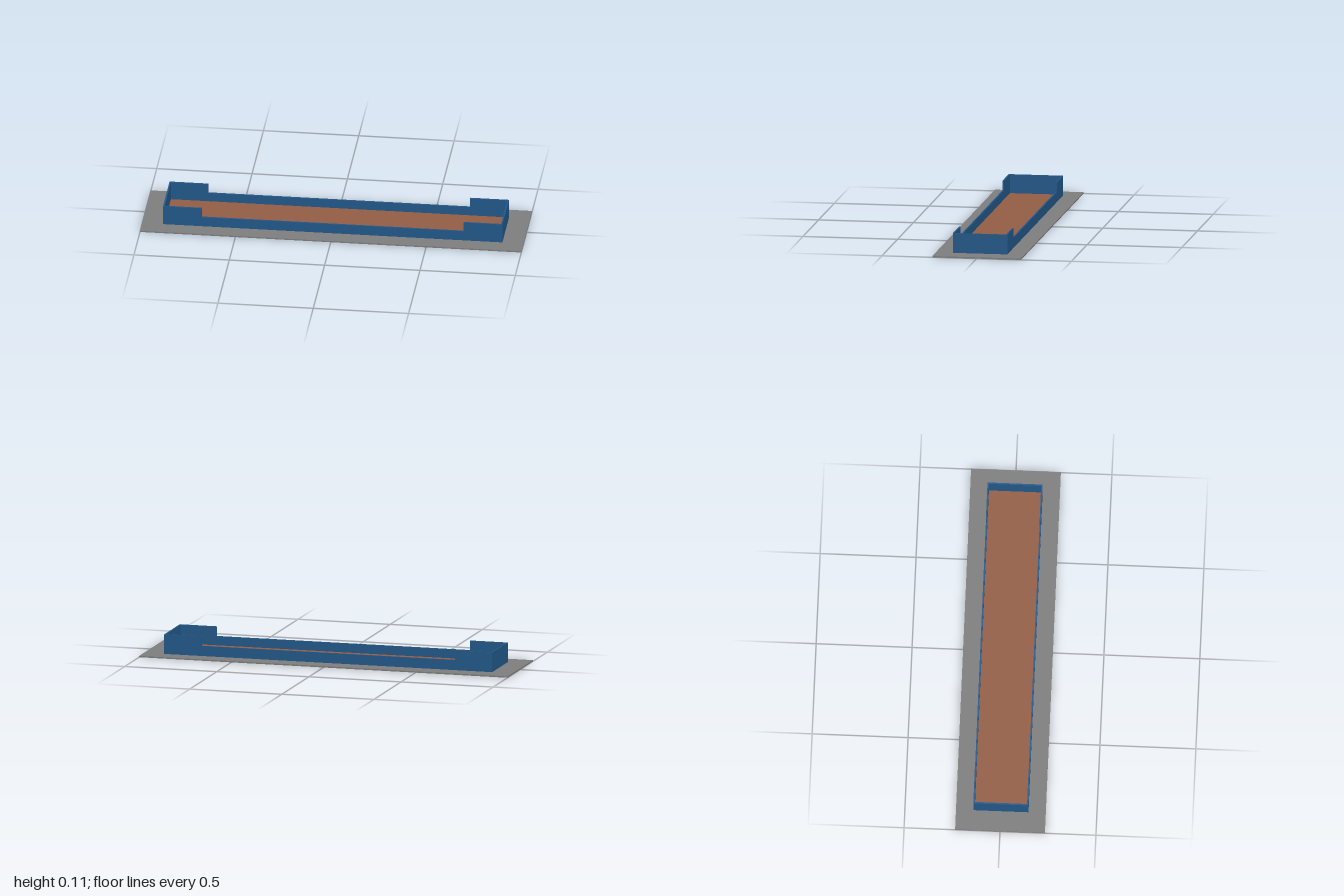
import * as THREE from 'three';

const BASE_TOP = 0.007;   // slab thickness
const X = 0.89, Z = 0.144; // outer half sizes of the wall ring
const LOW = 0.06, HIGH = 0.111, STEP = 0.687, T = 0.008;

export function createModel() {
  const group = new THREE.Group();
  const grey = new THREE.MeshStandardMaterial({ color: 0x808080 });
  const blue = new THREE.MeshStandardMaterial({ color: 0x235a8c });
  const clay = new THREE.MeshStandardMaterial({ color: 0x965f46 });

  function add(name, geometry, material, x, y, z) {
    const mesh = new THREE.Mesh(geometry, material);
    mesh.name = name;
    mesh.position.set(x, y, z);
    group.add(mesh);
  }

  // Surrounding slab and the playing surface set inside the walls
  add('baseSlab', new THREE.BoxGeometry(2, BASE_TOP, 0.468), grey, 0, BASE_TOP / 2, 0);
  const floorHeight = 0.005;
  add('courtFloor', new THREE.BoxGeometry(2 * (X - T), floorHeight, 2 * (Z - T)), clay,
    0, BASE_TOP + floorHeight / 2, 0);

  // Long side walls, low in the middle and stepped up at both ends
  const profile = new THREE.Shape([
    [-X, BASE_TOP], [X, BASE_TOP], [X, HIGH], [STEP, HIGH],
    [STEP, LOW], [-STEP, LOW], [-STEP, HIGH], [-X, HIGH],
  ].map(([x, y]) => new THREE.Vector2(x, y)));
  const sideWall = new THREE.ExtrudeGeometry(profile, { depth: T, bevelEnabled: false });
  add('frontWall', sideWall, blue, 0, 0, Z - T);
  add('backWall', sideWall, blue, 0, 0, -Z);

  // Tall end walls fitted between the side walls
  const wallHeight = HIGH - BASE_TOP;
  const endWall = new THREE.BoxGeometry(T, wallHeight, 2 * (Z - T));
  for (const [name, side] of [['leftEndWall', 1], ['rightEndWall', -1]]) {
    add(name, endWall, blue, side * (X - T / 2), BASE_TOP + wallHeight / 2, 0);
  }
  return group;
}
